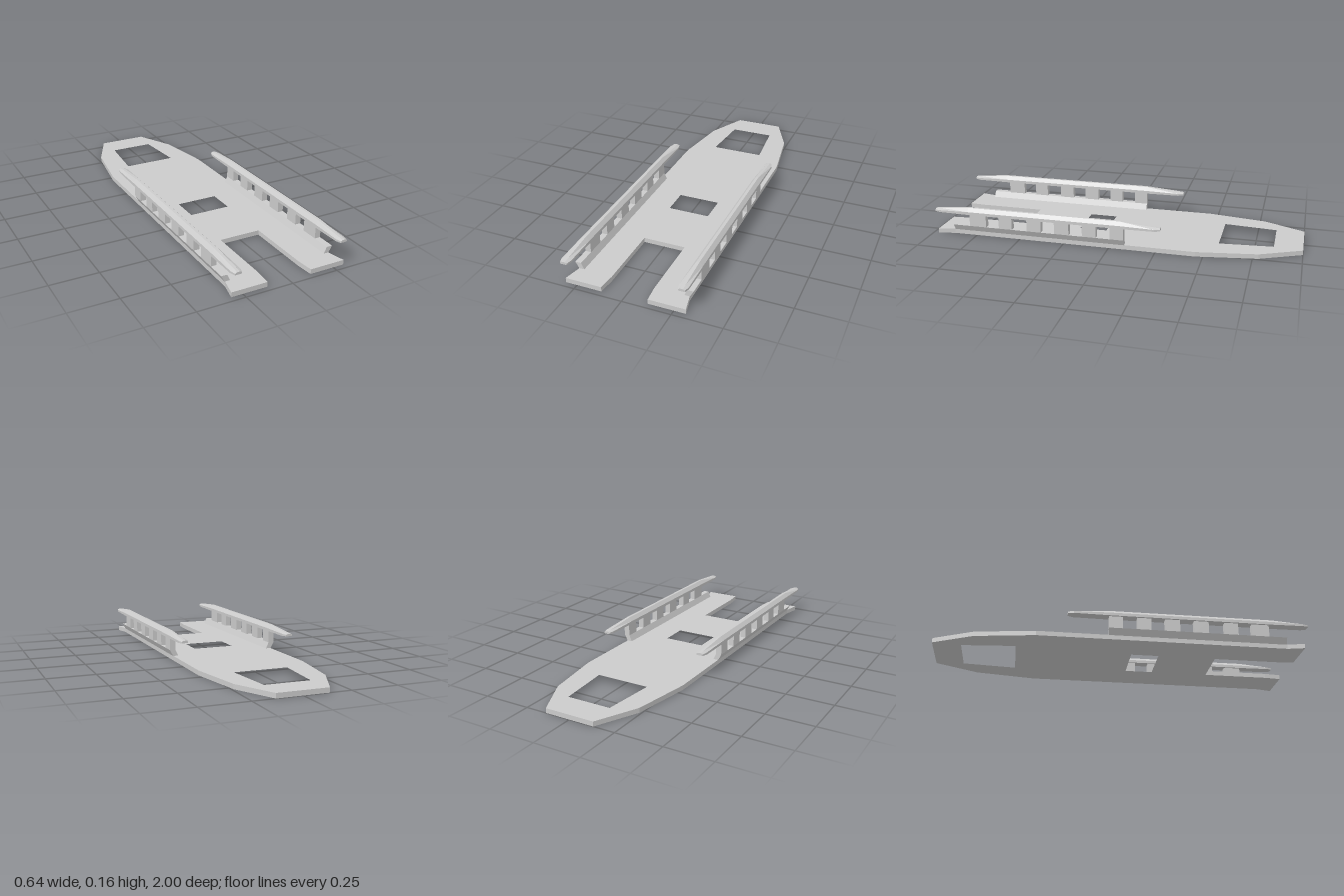
import * as THREE from 'three';

const material = new THREE.MeshStandardMaterial({ color: 0xcccccc, flatShading: true });

function add(group, name, geometry) {
  const mesh = new THREE.Mesh(geometry, material);
  mesh.name = name;
  group.add(mesh);
  return mesh;
}

// Mirrors a half outline of [x, z] points across x = 0
const mirrored = (half) => [...half, ...half.map(([x, z]) => [-x, z]).reverse()];
const toVectors = (pts) => pts.map(([x, z]) => new THREE.Vector2(x, -z));

// Flat plate with a tapered tail, forked nose and two openings
function deckGeometry() {
  const outline = mirrored([
    [0.135, -1], [0.24, -0.78], [0.29, -0.46], [0.29, 0.88], [0.31, 0.97],
    [0.12, 0.97], [0.112, 0.88], [0.112, 0.525],
  ]);
  const shape = new THREE.Shape(toVectors(outline));
  const openings = [
    mirrored([[0.12, -0.85], [0.145, -0.565]]),
    mirrored([[0.112, 0.06], [0.112, 0.21]]),
  ];
  for (const o of openings) shape.holes.push(new THREE.Path(toVectors(o)));
  const g = new THREE.ExtrudeGeometry(shape, { depth: 0.025, bevelEnabled: false });
  return g.rotateX(-Math.PI / 2);
}

// Six-sided bar swept along z, tapering at both ends
function capGeometry(centre, halfWidth, stretch) {
  // z, width factor, bottom, shoulder, top
  const stations = [
    [-0.3, 0.7, 0.129, 0.137, 0.142], [-0.27, 1, 0.127, 0.138, 0.145],
    [-0.08, 1, 0.125, 0.141, 0.16], [0.8, 1, 0.125, 0.141, 0.16],
    [0.97, 1, 0.127, 0.138, 0.145], [1, 0.7, 0.129, 0.137, 0.142],
  ];
  const pos = [], index = [], n = 6;
  for (const [z, f, bottom, shoulder, top] of stations) {
    const w = halfWidth * f, t = halfWidth * 0.3;
    const ring = [[w, bottom], [w, shoulder], [t, top], [-t, top], [-w, shoulder], [-w, bottom]];
    for (const [x, y] of ring) pos.push(centre + x, y, 0.35 + (z - 0.35) * stretch);
  }
  for (let s = 0; s < stations.length - 1; s++) {
    for (let i = 0; i < n; i++) {
      const a = s * n + i, b = s * n + (i + 1) % n;
      index.push(a, b, b + n, a, b + n, a + n);
    }
  }
  const last = (stations.length - 1) * n;
  for (let i = 1; i < n - 1; i++) {
    index.push(0, i + 1, i, last, last + i, last + i + 1);
  }
  const g = new THREE.BufferGeometry();
  g.setAttribute('position', new THREE.Float32BufferAttribute(pos, 3));
  g.setIndex(index);
  g.computeVertexNormals();
  return g;
}

// One side rail: slanted foot, row of posts and cap
function sideRail(side) {
  const rail = new THREE.Group();
  rail.name = side > 0 ? 'leftRail' : 'rightRail';

  const profile = [[0.262, 0.024], [0.29, 0.024], [0.309, 0.058], [0.278, 0.058]];
  const points = profile.map(([x, y]) => new THREE.Vector2(side * x, y));
  const foot = new THREE.ExtrudeGeometry(new THREE.Shape(points), { depth: 0.96, bevelEnabled: false });
  add(rail, 'railFoot', foot.translate(0, 0, -0.083));

  // [centre z, length] of each post
  const posts = [[-0.047, 0.073], [0.103, 0.075], [0.255, 0.08], [0.41, 0.08], [0.573, 0.075], [0.732, 0.095]];
  for (const [z, length] of posts) {
    const post = add(rail, 'railPost', new THREE.BoxGeometry(0.031, 0.07, length));
    post.position.set(side * 0.2935, 0.093, z);
  }

  add(rail, 'railCap', side > 0
    ? capGeometry(0.2935, 0.0245, 0.967)
    : capGeometry(-0.2935, 0.0255, 1));
  return rail;
}

export function createModel() {
  const model = new THREE.Group();
  model.name = 'railedDeck';
  add(model, 'deck', deckGeometry());
  for (const side of [1, -1]) model.add(sideRail(side));
  return model;
}
